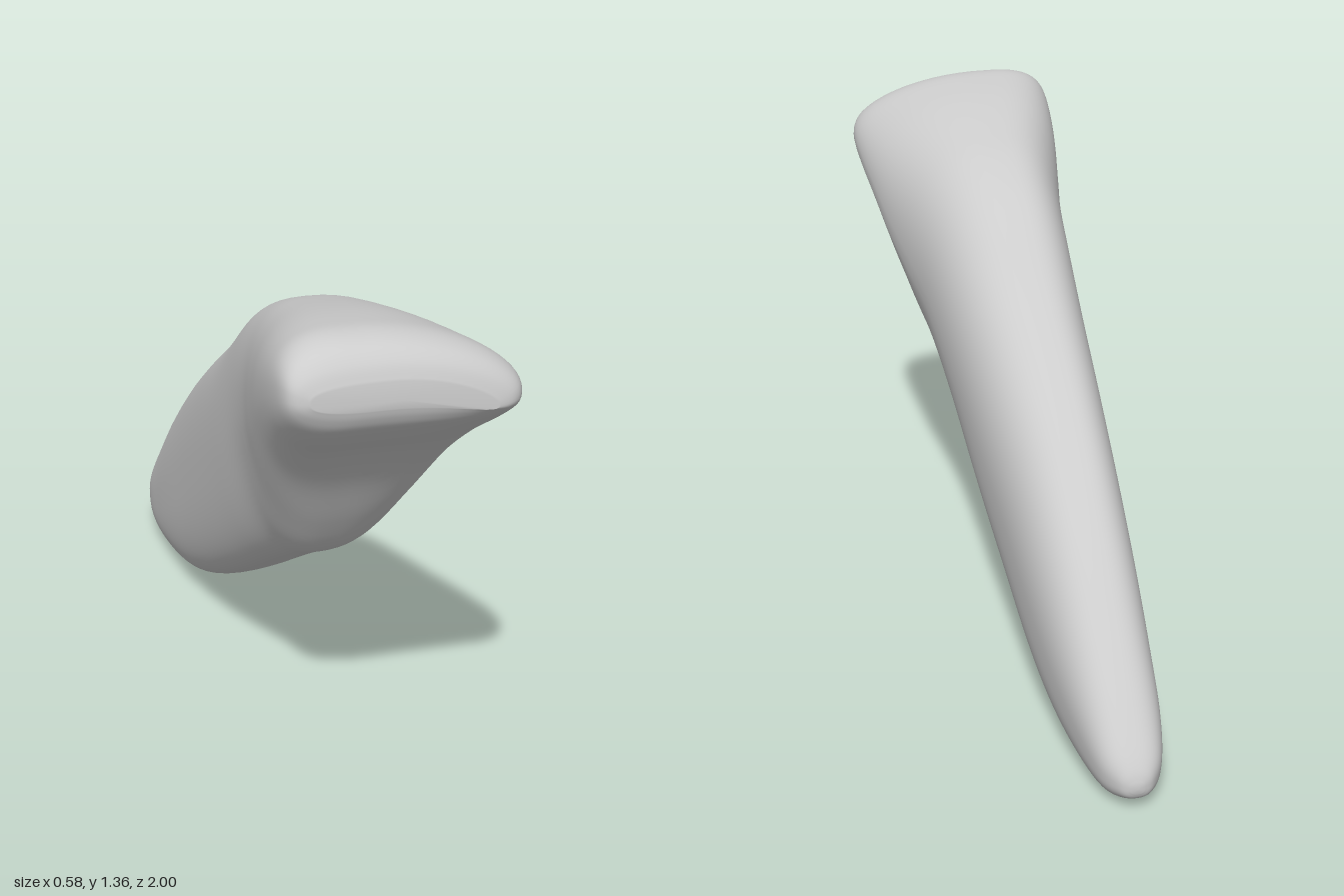
import * as THREE from 'three';

// Sections from root tip to biting edge:
// [outer z, outer y, inner z, inner y, x min, x max, ridge x]
const SECTIONS = [
  [-0.997, 0.085, -0.997, 0.055, -0.145, -0.11, -0.128],
  [-0.985, 0.115, -0.98, 0.032, -0.172, -0.083, -0.126],
  [-0.95, 0.165, -0.91, 0.007, -0.204, -0.045, -0.122],
  [-0.87, 0.26, -0.77, 0.0, -0.225, -0.012, -0.117],
  [-0.75, 0.39, -0.6, 0.017, -0.232, 0.02, -0.112],
  [-0.6, 0.54, -0.42, 0.068, -0.235, 0.047, -0.108],
  [-0.4, 0.71, -0.2, 0.175, -0.235, 0.075, -0.105],
  [-0.2, 0.86, 0.03, 0.31, -0.235, 0.107, -0.095],
  [0.0, 1.0, 0.25, 0.45, -0.235, 0.137, -0.08],
  [0.2, 1.155, 0.42, 0.555, -0.235, 0.172, -0.07],
  [0.37, 1.24, 0.535, 0.625, -0.245, 0.205, -0.065],
  [0.53, 1.29, 0.63, 0.745, -0.265, 0.237, -0.07],
  [0.68, 1.328, 0.73, 0.9, -0.283, 0.265, -0.09],
  [0.8, 1.35, 0.83, 1.02, -0.292, 0.284, -0.115],
  [0.88, 1.358, 0.92, 1.1, -0.292, 0.29, -0.13],
  [0.94, 1.343, 0.97, 1.15, -0.284, 0.275, -0.12],
  [0.976, 1.31, 0.99, 1.182, -0.265, 0.248, -0.09],
  [0.994, 1.27, 0.998, 1.206, -0.23, 0.205, -0.06],
];
const STEPS = 5, SIDES = 72;

// Smooth interpolation between neighbouring sections
function sectionAt(t) {
  const last = SECTIONS.length - 1;
  const i = Math.min(Math.floor(t), last - 1), f = t - i;
  const p = k => SECTIONS[Math.max(0, Math.min(last, k))];
  return p(i).map((b, k) => {
    const a = p(i - 1)[k], c = p(i + 1)[k], d = p(i + 2)[k];
    return b + 0.5 * f * (c - a + f * (2 * a - 5 * b + 4 * c - d + f * (3 * (b - c) + d - a)));
  });
}

const power = (v, n) => Math.sign(v) * Math.pow(Math.abs(v), 2 / n);

function toothGeometry() {
  const positions = [], indices = [];
  const rings = (SECTIONS.length - 1) * STEPS + 1;
  for (let r = 0; r < rings; r++) {
    const t = r / STEPS;
    const [az, ay, bz, by, x0, x1, xc] = sectionAt(t);
    // The inner face narrows at the crown's base; the crown's left side droops
    const taper = 0.22 * Math.exp(-(((t - 10.5) / 2.6) ** 2));
    const droop = 0.054 * THREE.MathUtils.smoothstep(t, 8, 14);
    for (let j = 0; j < SIDES; j++) {
      const angle = (j / SIDES) * Math.PI * 2;
      const s = Math.sin(angle), c = Math.cos(angle);
      const n = s < 0 ? 2.6 : 2.4;
      const v = power(c, n), w = power(Math.abs(s), n);
      const narrow = 1 - taper * Math.max(0, -v);
      const x = xc + w * narrow * (s < 0 ? x0 - xc : x1 - xc);
      const drop = s > 0 ? droop * w * w : 0;
      positions.push(x, (ay + by) / 2 + v * (ay - by) / 2 - drop, (az + bz) / 2 + v * (az - bz) / 2);
    }
  }
  for (let r = 0; r < rings - 1; r++) {
    for (let j = 0; j < SIDES; j++) {
      const a = r * SIDES + j, b = r * SIDES + (j + 1) % SIDES;
      indices.push(a, a + SIDES, b, b, a + SIDES, b + SIDES);
    }
  }
  // Close the root tip and the biting edge
  const tip = rings * SIDES, edge = tip + 1, start = (rings - 1) * SIDES;
  positions.push(-0.128, 0.07, -1, -0.02, 1.225, 1);
  for (let j = 0; j < SIDES; j++) {
    const k = (j + 1) % SIDES;
    indices.push(tip, j, k, edge, start + k, start + j);
  }
  const geometry = new THREE.BufferGeometry();
  geometry.setAttribute('position', new THREE.Float32BufferAttribute(positions, 3));
  geometry.setIndex(indices);
  geometry.computeVertexNormals();
  return geometry;
}

export function createModel() {
  const group = new THREE.Group();
  group.name = 'incisorTooth';
  const enamel = new THREE.MeshStandardMaterial({ color: 0xcccccc });
  enamel.name = 'light grey';
  const tooth = new THREE.Mesh(toothGeometry(), enamel);
  tooth.name = 'tooth';
  group.add(tooth);
  return group;
}
